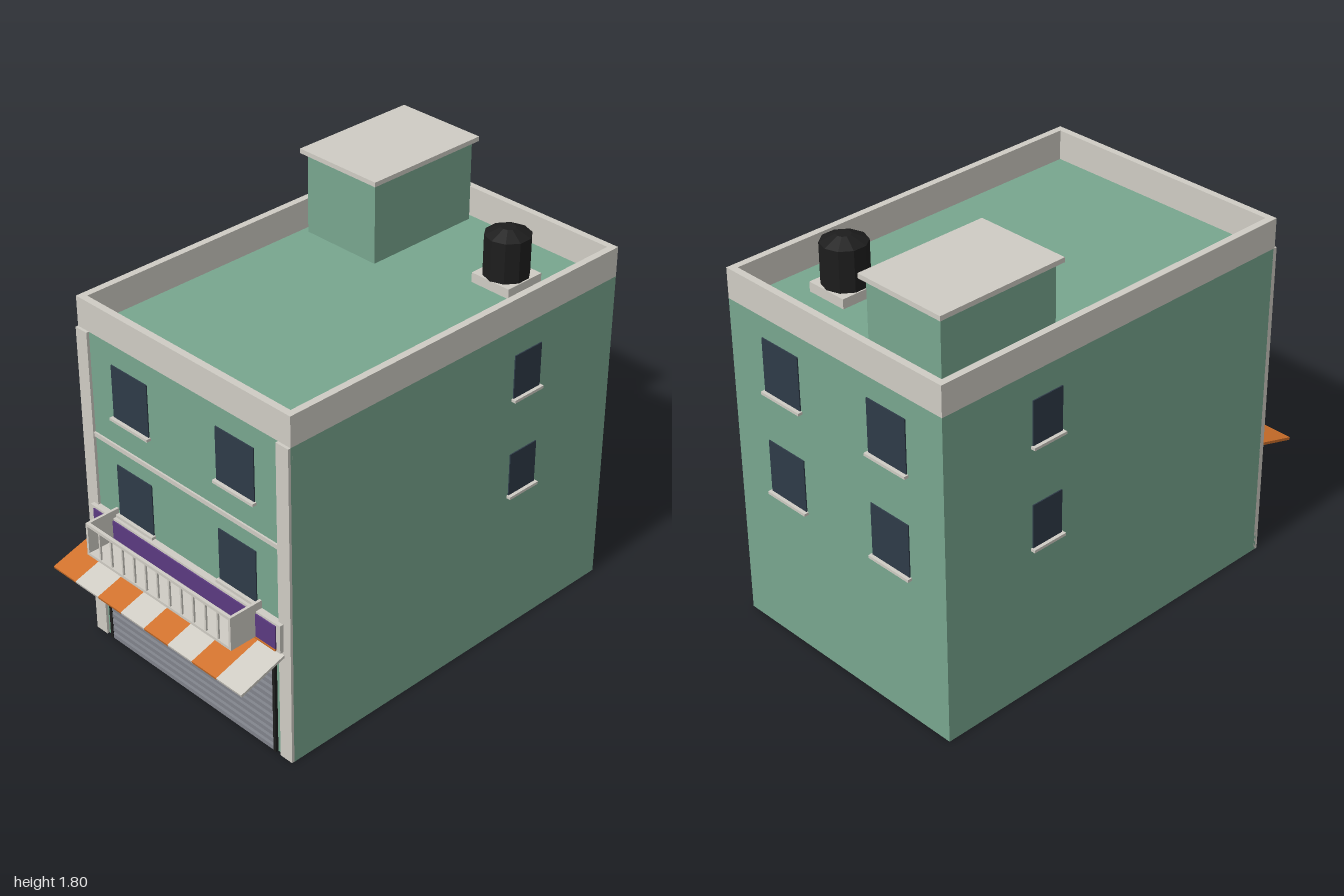
import * as THREE from 'three';

const mat = (name, color) => {
  const m = new THREE.MeshStandardMaterial({ color });
  m.name = name;
  return m;
};

export function createModel() {
  const green = mat('green wall', 0x78a68f);
  const trim = mat('pale trim', 0xcfccc4);
  const glass = mat('dark glass', 0x2e3b48);
  const steel = mat('shutter grey', 0x80838b);
  const black = mat('black', 0x1d1d1d);
  const purple = mat('sign purple', 0x5b3a80);
  const orange = mat('orange', 0xd0712b);

  const model = new THREE.Group();
  model.name = 'shopBuilding';

  const add = (name, geometry, material, parent = model) => {
    const mesh = new THREE.Mesh(geometry, material);
    mesh.name = name;
    parent.add(mesh);
    return mesh;
  };
  // Box given by its two extremes on each axis
  const box = (name, material, x0, x1, y0, y1, z0, z1, parent) => {
    const mesh = add(name, new THREE.BoxGeometry(x1 - x0, y1 - y0, z1 - z0), material, parent);
    mesh.position.set((x0 + x1) / 2, (y0 + y1) / 2, (z0 + z1) / 2);
    return mesh;
  };
  const group = (name) => {
    const g = new THREE.Group();
    g.name = name;
    model.add(g);
    return g;
  };

  const W = 0.584, F = 0.771, B = -0.978, ROOF = 1.43, TOP = 1.56, T = 0.03;

  // Main block with its roof deck
  box('walls', green, -W, W, 0, ROOF, B, F);

  // Parapet ring, extruded upward around the roof
  const ring = new THREE.Shape([[-W, -F], [W, -F], [W, -B], [-W, -B]].map(p => new THREE.Vector2(...p)));
  ring.holes.push(new THREE.Path([[-W + T, -F + T], [-W + T, -B - T], [W - T, -B - T], [W - T, -F + T]]
    .map(p => new THREE.Vector2(...p))));
  const parapet = add('parapet', new THREE.ExtrudeGeometry(ring, { depth: TOP - ROOF, bevelEnabled: false }), trim);
  parapet.rotation.x = -Math.PI / 2;
  parapet.position.y = ROOF;

  // Front pilasters and floor band
  for (const s of [-1, 1]) {
    const a = s * W, b = s * 0.52;
    box('pilaster', trim, Math.min(a, b), Math.max(a, b), 0, ROOF, F - 0.01, 0.783);
  }
  box('floorBand', trim, -0.52, 0.52, 0.966, 0.985, F - 0.01, 0.779);

  // Windows: a thin pane and a sill, facing +z before being turned
  const addWindow = (x, y, z, turn, width, height) => {
    const g = group('window');
    box('pane', glass, -width / 2, width / 2, 0, height, -0.004, 0.005, g);
    box('sill', trim, -width / 2 - 0.007, width / 2 + 0.007, -0.01, 0.002, -0.004, 0.02, g);
    g.position.set(x, y, z);
    g.rotation.y = turn;
  };
  for (const floor of [0, 0.45]) {
    for (const s of [-1, 1]) {
      addWindow(s * 0.292, 0.659 + floor, F, 0, 0.204, 0.232);
      addWindow(s * 0.292, 0.659 + floor, B, Math.PI, 0.204, 0.232);
      addWindow(s * W, 0.669 + floor, -0.47, s * Math.PI / 2, 0.15, 0.193);
    }
  }

  // Roller shutter: slats with a sloped profile, held by dark side rails
  const SLATS = 14, SH = 0.49;
  const profile = new THREE.Shape();
  profile.moveTo(0, 0);
  for (let i = 0; i < SLATS; i++) {
    const y = (i * SH) / SLATS;
    profile.lineTo(0.011, y);
    profile.lineTo(0.011, y + (SH / SLATS) * 0.55);
    profile.lineTo(0.004, y + SH / SLATS);
  }
  profile.lineTo(0, SH);
  const shutter = add('shutter', new THREE.ExtrudeGeometry(profile, { depth: 0.966, bevelEnabled: false }), steel);
  shutter.rotation.y = -Math.PI / 2;
  shutter.scale.z = -1; // profile depth turned to face the front
  shutter.rotation.y = Math.PI / 2;
  shutter.scale.set(-1, 1, 1);
  shutter.position.set(-0.483, 0, F - 0.001);
  for (const s of [-1, 1]) {
    box('shutterRail', black, s * 0.488 - 0.007, s * 0.488 + 0.007, 0, SH, F - 0.005, 0.784);
  }

  // Shop sign
  box('signFrame', trim, -0.546, 0.546, 0.518, 0.645, F - 0.005, 0.8);
  box('signPanel', purple, -0.525, 0.525, 0.531, 0.635, 0.799, 0.806);
  box('signStripe', orange, -0.525, 0.525, 0.522, 0.531, 0.799, 0.808);

  // Balcony: floor, solid ends and a barred front
  const balcony = group('balcony');
  const bx = 0.418, z1 = 0.928;
  box('balconyFloor', trim, -bx, bx, 0.53, 0.542, F, z1, balcony);
  for (const s of [-1, 1]) {
    box('balconyEnd', trim, s * (bx - 0.006) - 0.006, s * (bx - 0.006) + 0.006, 0.53, 0.68, F, z1, balcony);
  }
  box('topRail', trim, -bx, bx, 0.667, 0.68, z1 - 0.014, z1, balcony);
  for (let i = 1; i < 12; i++) {
    const x = -bx + 0.008 + (i * (2 * bx - 0.016)) / 12;
    box('baluster', trim, x - 0.004, x + 0.004, 0.54, 0.67, z1 - 0.011, z1 - 0.003, balcony);
  }

  // Sloping striped awning
  const awning = group('awning');
  const run = 0.229, drop = 0.069, len = Math.hypot(run, drop), sw = 1.1 / 8;
  for (let i = 0; i < 8; i++) {
    const x = -0.55 + i * sw;
    box('awningStripe', i % 2 ? trim : orange, x, x + sw, -0.012, 0, 0, len, awning);
  }
  awning.position.set(0, 0.508, F);
  awning.rotation.x = Math.atan2(drop, run);

  // Stair house on the roof
  box('stairHouse', green, -0.525, -0.147, ROOF, 1.782, -0.922, -0.372);
  box('stairHouseRoof', trim, -0.548, -0.128, 1.78, 1.8, -0.943, -0.352);

  // Water tank on a pad
  box('tankPad', trim, 0.22, 0.412, ROOF, 1.472, -0.73, -0.54);
  const flat = (g) => { const n = g.toNonIndexed(); n.computeVertexNormals(); return n; };
  const tank = add('waterTank', flat(new THREE.CylinderGeometry(0.095, 0.095, 0.175, 10)), black);
  tank.position.set(0.316, 1.558, -0.633);
  const lid = add('tankLid', flat(new THREE.CylinderGeometry(0.03, 0.095, 0.03, 10)), black);
  lid.position.set(0.316, 1.66, -0.633);

  return model;
}
